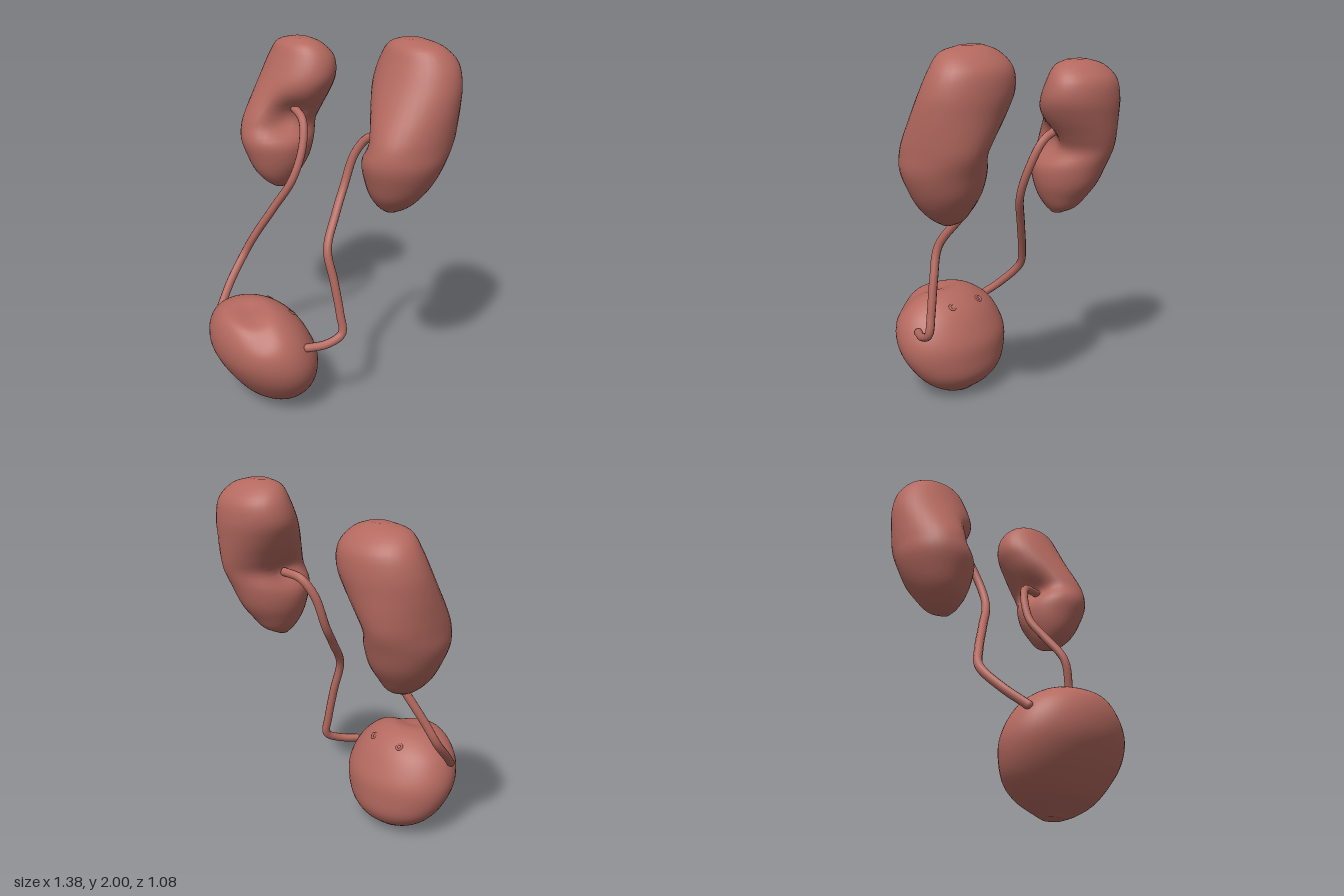
import * as THREE from 'three';

const material = new THREE.MeshStandardMaterial({ color: 0xb4695f, roughness: 0.8 });
const V = (x, y, z) => new THREE.Vector3(x, y, z);

// Closed smooth body from sections [y, xMin, xMax, zMin, zMax], listed bottom to top
function loft(sections, rows, sides, sculpt) {
  const xs = new THREE.CatmullRomCurve3(sections.map(s => V(s[1], s[0], s[2])), false, 'catmullrom');
  const zs = new THREE.CatmullRomCurve3(sections.map(s => V(s[3], s[0], s[4])), false, 'catmullrom');
  const pos = [], index = [];
  const add = (x, y, z) => {
    const v = V(x, y, z);
    sculpt(v);
    pos.push(v.x, v.y, v.z);
  };
  for (let i = 0; i <= rows; i++) {
    const a = xs.getPoint(i / rows), b = zs.getPoint(i / rows);
    for (let j = 0; j < sides; j++) {
      const t = j / sides * Math.PI * 2;
      add((a.x + a.z) / 2 + (a.z - a.x) / 2 * Math.cos(t), a.y,
        (b.x + b.z) / 2 + (b.z - b.x) / 2 * Math.sin(t));
      if (i === rows) continue;
      const p = i * sides + j, q = i * sides + (j + 1) % sides;
      index.push(p, p + sides, q, q, p + sides, q + sides);
    }
  }
  // end caps
  const first = sections[0], last = sections[sections.length - 1];
  const bottom = pos.length / 3, top = bottom + 1;
  for (const s of [first, last]) add((s[1] + s[2]) / 2, s[0], (s[3] + s[4]) / 2);
  for (let j = 0; j < sides; j++) {
    const k = (j + 1) % sides;
    index.push(bottom, j, k, top, rows * sides + k, rows * sides + j);
  }
  const g = new THREE.BufferGeometry();
  g.setAttribute('position', new THREE.Float32BufferAttribute(pos, 3));
  g.setIndex(index);
  g.computeVertexNormals();
  return g;
}

// Pushes nearby points along a vector with a soft falloff
const dent = (center, push, size) => v =>
  v.addScaledVector(push, Math.exp(-v.distanceToSquared(center) / (size * size)));

const kidneySections = [
  [1.155, 0.41, 0.47, -0.24, -0.18],
  [1.19, 0.375, 0.53, -0.31, -0.13],
  [1.25, 0.34, 0.59, -0.36, -0.08],
  [1.33, 0.31, 0.64, -0.415, -0.045],
  [1.43, 0.30, 0.68, -0.455, -0.016],
  [1.52, 0.335, 0.687, -0.49, -0.03],
  [1.60, 0.30, 0.69, -0.51, -0.06],
  [1.70, 0.24, 0.69, -0.525, -0.11],
  [1.80, 0.20, 0.68, -0.535, -0.16],
  [1.90, 0.215, 0.645, -0.52, -0.205],
  [1.97, 0.27, 0.58, -0.45, -0.24],
  [2.0, 0.35, 0.47, -0.38, -0.30],
];

const bladderSections = [
  [0.0, -0.08, 0.04, 0.15, 0.25],
  [0.03, -0.15, 0.12, 0.11, 0.29],
  [0.08, -0.24, 0.20, 0.05, 0.37],
  [0.15, -0.31, 0.265, 0.012, 0.43],
  [0.24, -0.355, 0.315, 0.005, 0.49],
  [0.33, -0.37, 0.33, 0.012, 0.53],
  [0.42, -0.35, 0.31, 0.05, 0.54],
  [0.50, -0.30, 0.26, 0.10, 0.525],
  [0.56, -0.22, 0.19, 0.165, 0.49],
  [0.59, -0.14, 0.12, 0.225, 0.42],
  [0.60, -0.06, 0.06, 0.27, 0.34],
];

const leftPath = [
  [0.37, 1.51, -0.24], [0.25, 1.49, -0.22], [0.19, 1.40, -0.18], [0.175, 1.22, -0.12],
  [0.21, 1.10, -0.04], [0.265, 0.95, 0.055], [0.31, 0.78, 0.045], [0.345, 0.60, 0.03],
  [0.363, 0.49, 0.03], [0.34, 0.445, 0.11], [0.29, 0.43, 0.20],
];
const rightPath = [
  [-0.37, 1.52, -0.2], [-0.27, 1.47, -0.19], [-0.215, 1.34, -0.15], [-0.215, 1.16, -0.08],
  [-0.30, 0.98, -0.01], [-0.39, 0.80, 0.06], [-0.432, 0.68, 0.11], [-0.40, 0.55, 0.23],
  [-0.335, 0.45, 0.34],
];

export function createModel() {
  const group = new THREE.Group();
  const part = (name, geometry) => {
    const mesh = new THREE.Mesh(geometry, material);
    mesh.name = name;
    group.add(mesh);
    return mesh;
  };

  // Kidneys: the right one is mirrored, lower and further forward
  part('leftKidney', loft(kidneySections, 44, 36,
    dent(V(0.33, 1.52, -0.23), V(0.045, 0, 0), 0.09)));
  part('rightKidney', loft(
    kidneySections.map(([y, x0, x1, z0, z1]) => [y - 0.11, -x1, -x0, z0 + 0.055, z1 + 0.055]),
    44, 36, dent(V(-0.33, 1.49, -0.13), V(-0.06, 0, -0.05), 0.1)));

  // Bladder with a slanting hollow on its upper front
  const hollows = [[-0.02, 0.58, 0.37], [0.08, 0.56, 0.40], [0.18, 0.51, 0.42]]
    .map(p => dent(V(...p), V(0, -0.022, -0.012), 0.08));
  part('bladder', loft(bladderSections, 44, 48, v => hollows.forEach(h => h(v))));

  // Small openings on the back of the bladder
  for (const x of [-0.12, 0.08]) {
    const ring = part('bladderOpening', new THREE.TorusGeometry(0.016, 0.007, 8, 16));
    ring.position.set(x, 0.532, 0.15);
    ring.rotation.x = -Math.PI * 0.7;
  }

  // Ureters with rounded ends
  for (const [name, path] of [['leftUreter', leftPath], ['rightUreter', rightPath]]) {
    const points = path.map(p => V(...p));
    part(name, new THREE.TubeGeometry(new THREE.CatmullRomCurve3(points), 70, 0.023, 10));
    part(name + 'End', new THREE.SphereGeometry(0.023, 10, 8)).position.copy(points[points.length - 1]);
  }
  return group;
}
